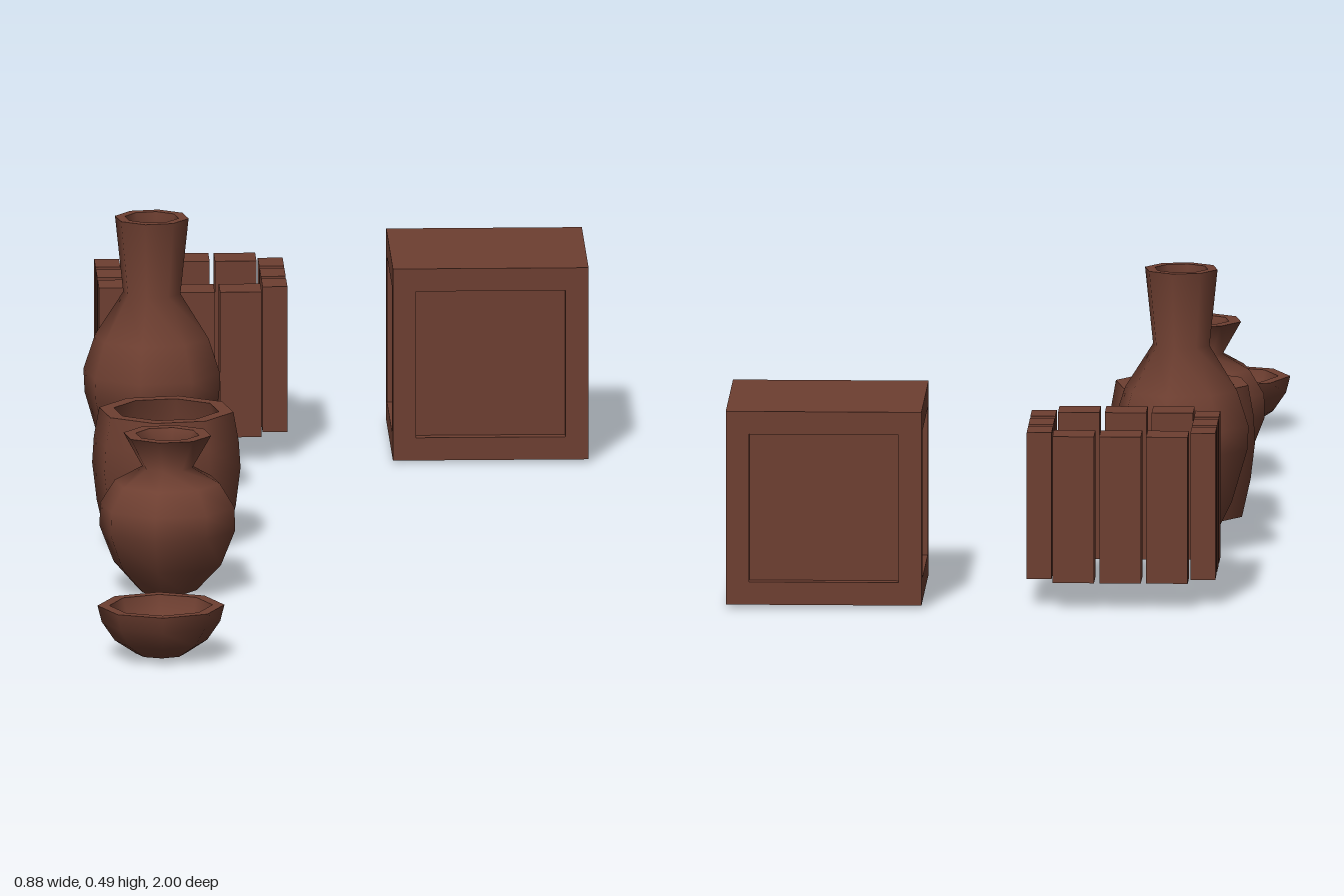
import * as THREE from 'three';
import { mergeGeometries } from 'three/addons/utils/BufferGeometryUtils.js';

const clay = new THREE.MeshStandardMaterial({ color: 0x6e3f31 });
const wood = new THREE.MeshStandardMaterial({ color: 0x6e3f31 });

// Eight-sided hollow vessel: base, outer wall, rim and inner wall keep sharp edges between them
function vessel(name, x, z, turn, outer, inner) {
  const base = [[0, outer[0][1]], outer[0]];
  const rim = [outer[outer.length - 1], inner[0]];
  const parts = [base, outer, rim, inner].map((profile) =>
    new THREE.LatheGeometry(
      profile.map(([r, y]) => new THREE.Vector2(r, y)), 8, THREE.MathUtils.degToRad(turn)));
  const mesh = new THREE.Mesh(mergeGeometries(parts), clay);
  mesh.name = name;
  mesh.position.set(x, 0, z);
  return mesh;
}

// Box given by its limits on each axis
function board(name, [x0, x1], [y0, y1], [z0, z1]) {
  const mesh = new THREE.Mesh(new THREE.BoxGeometry(x1 - x0, y1 - y0, z1 - z0), wood);
  mesh.name = name;
  mesh.position.set((x0 + x1) / 2, (y0 + y1) / 2, (z0 + z1) / 2);
  return mesh;
}

// Closed crate with a recessed panel on each of its four sides
function makeCrate() {
  const crate = new THREE.Group();
  crate.name = 'crate';
  const h = 0.165, b = 0.039, recess = 0.02;
  const low = 0.005, high = 0.335;
  crate.add(
    board('crateBottom', [-h, h], [low, low + b], [-h, h]),
    board('crateTop', [-h, h], [high - b, high], [-h, h]),
    board('cratePanels', [-h + recess, h - recess], [low + b, high - b], [-h + recess, h - recess]));
  for (const sx of [-1, 1]) for (const sz of [-1, 1]) {
    const post = board('cratePost', [-b / 2, b / 2], [low + b, high - b], [-b / 2, b / 2]);
    post.position.x = sx * (h - b / 2);
    post.position.z = sz * (h - b / 2);
    crate.add(post);
  }
  crate.position.set(0.275, 0, -0.835);
  return crate;
}

// Open ring of upright planks: three on each side
function makePlankRing() {
  const ring = new THREE.Group();
  ring.name = 'plankRing';
  const height = [0.045, 0.295];
  for (const s of [-1, 1]) for (const i of [-1, 0, 1]) {
    const wide = board('plank', [-0.035, 0.035], height, [-0.034, 0.034]);
    wide.position.x = i * 0.079;
    wide.position.z = s * 0.126;
    const side = board('sidePlank', [-0.021, 0.021], height, [-0.033, 0.033]);
    side.position.x = s * 0.138;
    side.position.z = i * 0.085;
    ring.add(wide, side);
  }
  ring.position.set(-0.225, 0, -0.84);
  return ring;
}

export function createModel() {
  const model = new THREE.Group();
  model.name = 'potsAndCrates';
  model.add(makeCrate(), makePlankRing());

  // Tall bottle with a flared neck
  model.add(vessel('bottle', -0.306, -0.398, -12,
    [[0.046, 0.005], [0.088, 0.09], [0.115, 0.18], [0.117, 0.22], [0.097, 0.28], [0.049, 0.355], [0.063, 0.485]],
    [[0.046, 0.485], [0.034, 0.355], [0.08, 0.28], [0.1, 0.2], [0.07, 0.09], [0.035, 0.025], [0, 0.025]]));

  // Wide-mouthed jar
  model.add(vessel('jar', -0.294, -0.036, -12,
    [[0.104, 0.005], [0.119, 0.07], [0.127, 0.135], [0.124, 0.18], [0.115, 0.23]],
    [[0.09, 0.23], [0.103, 0.18], [0.105, 0.135], [0.098, 0.07], [0.085, 0.025], [0, 0.025]]));

  // Round vase with a pinched neck and flared lip
  model.add(vessel('roundVase', -0.306, 0.361, -12,
    [[0.05, 0.005], [0.092, 0.05], [0.116, 0.11], [0.115, 0.15], [0.09, 0.19], [0.043, 0.216], [0.075, 0.272]],
    [[0.054, 0.272], [0.028, 0.216], [0.075, 0.185], [0.096, 0.145], [0.075, 0.055], [0.04, 0.025], [0, 0.025]]));

  // Shallow bowl with a rounded bottom
  model.add(vessel('bowl', -0.335, 0.892, 0,
    [[0, 0], [0.042, 0.007], [0.078, 0.03], [0.1, 0.062], [0.107, 0.09]],
    [[0.087, 0.09], [0.081, 0.068], [0.063, 0.042], [0.034, 0.025], [0, 0.02]]));

  return model;
}
